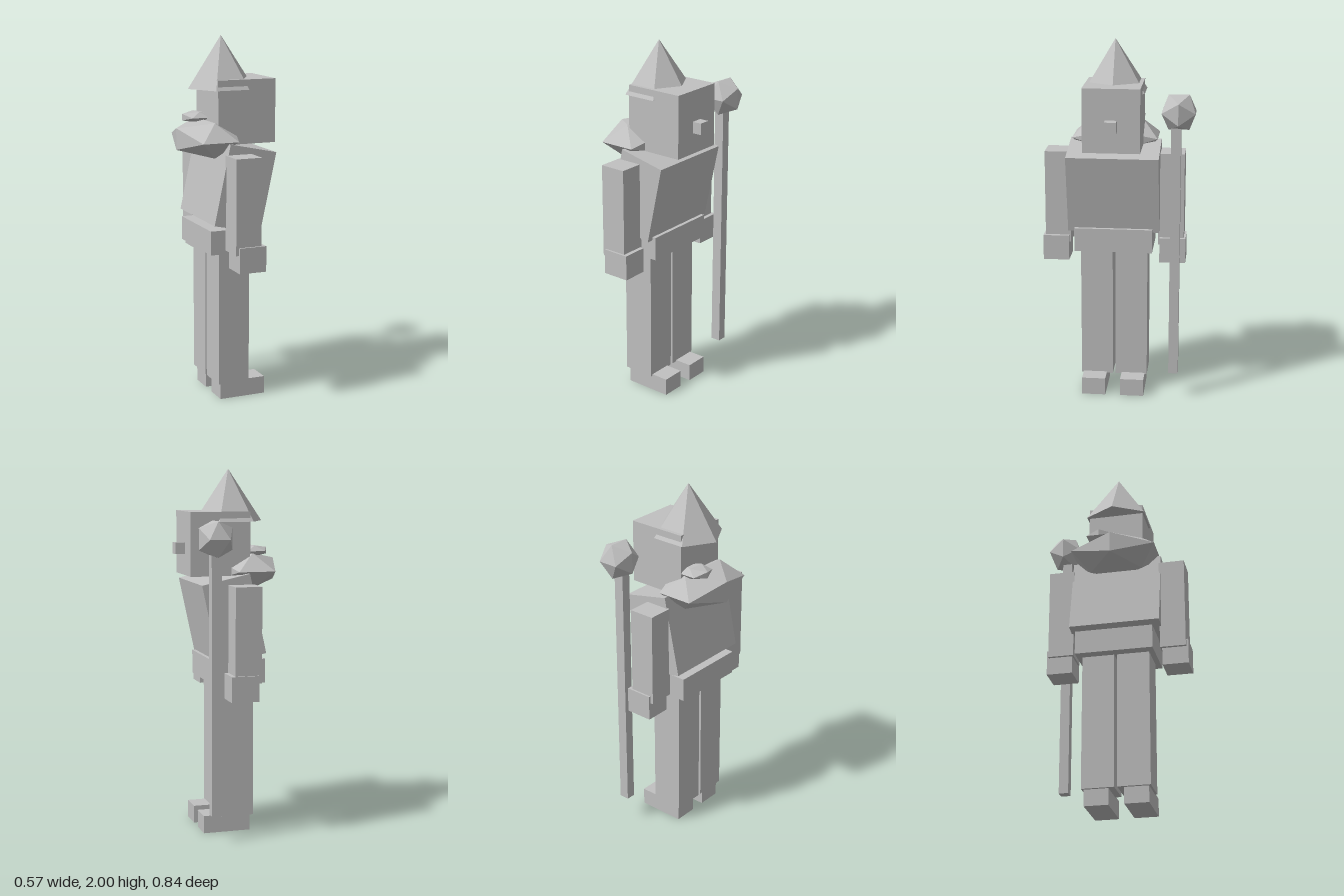
import * as THREE from 'three';

export function createModel() {
  const model = new THREE.Group();
  model.name = 'blockFigure';
  const stone = new THREE.MeshStandardMaterial({ color: 0xc0c0c0, flatShading: true });
  stone.name = 'light grey';
  const MID = 0.023; // mirror plane of the body in z

  function add(name, geometry, x, y, z) {
    const mesh = new THREE.Mesh(geometry, stone);
    mesh.name = name;
    mesh.position.set(x, y, z);
    model.add(mesh);
    return mesh;
  }
  // Box from its limits on each axis
  function box(name, x0, x1, y0, y1, z0, z1) {
    return add(name, new THREE.BoxGeometry(x1 - x0, y1 - y0, z1 - z0),
      (x0 + x1) / 2, (y0 + y1) / 2, (z0 + z1) / 2);
  }
  // Faceted lump, squashed on each axis
  function lump(name, x, y, z, sx, sy, sz) {
    const g = new THREE.IcosahedronGeometry(1, 0);
    g.rotateY(Math.PI / 2);
    g.scale(sx, sy, sz);
    g.computeVertexNormals();
    return add(name, g, x, y, z);
  }

  // Head, nose and six-sided pointed hat
  box('head', -0.105, 0.23, 1.425, 1.772, -0.132, 0.178);
  box('nose', 0.22, 0.283, 1.54, 1.603, MID - 0.032, MID + 0.032);
  const hat = new THREE.ConeGeometry(0.192, 0.283, 6);
  hat.rotateY(Math.PI / 6);
  add('hat', hat, -0.025, 1.8585, MID);

  // Leaning torso and belt
  const torso = add('torso', new THREE.BoxGeometry(0.273, 0.444, 0.503), 0.013, 1.197, MID);
  torso.rotation.z = -0.21;
  box('belt', -0.173, 0.125, 0.84, 0.972, MID - 0.215, MID + 0.215);

  // Limbs, mirrored about the middle
  for (const s of [-1, 1]) {
    const side = s > 0 ? 'near' : 'far';
    const limb = (name, x0, x1, y0, y1, a, b) =>
      box(side + name, x0, x1, y0, y1, MID + Math.min(s * a, s * b), MID + Math.max(s * a, s * b));
    limb('Arm', -0.1, 0.047, 0.868, 1.385, 0.243, 0.385);
    limb('Hand', -0.083, 0.07, 0.77, 0.91, 0.252, 0.396);
    limb('Leg', -0.115, 0.065, 0.09, 0.9, 0.008, 0.186);
    limb('Foot', -0.1, 0.165, 0, 0.098, 0.042, 0.174);
  }

  // Staff with faceted knob
  box('staff', 0.117, 0.173, 0.15, 1.62, -0.345, -0.292);
  lump('staffKnob', 0.148, 1.639, -0.332, 0.107, 0.111, 0.106);

  // Flattened collar behind the neck and the small lump resting on it
  lump('collar', -0.122, 1.45, 0.027, 0.194, 0.112, 0.278);
  lump('collarLump', -0.14, 1.556, -0.053, 0.095, 0.034, 0.091);

  return model;
}
